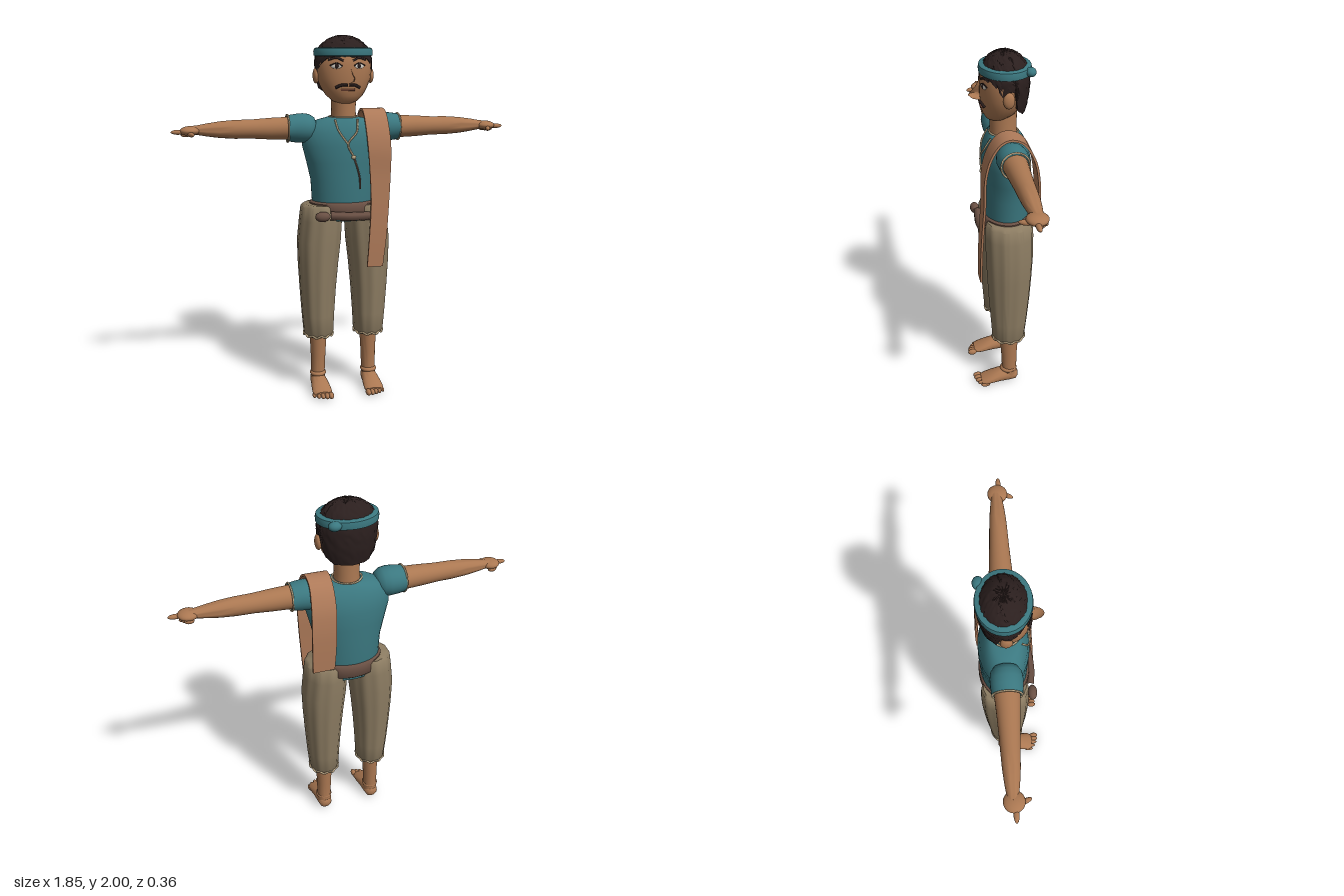
import * as THREE from 'three';
import { toCreasedNormals } from 'three/addons/utils/BufferGeometryUtils.js';

const mat = (name, color, side = THREE.FrontSide) => {
  const m = new THREE.MeshStandardMaterial({ color, side });
  m.name = name;
  return m;
};
const V = (x, y, z) => new THREE.Vector3(x, y, z);

// Closed skin over a list of point rings, capped at both ends
function skinRings(rings, crease = 0.8) {
  const n = rings[0].length, pos = [], idx = [];
  rings.forEach(r => r.forEach(p => pos.push(p.x, p.y, p.z)));
  for (let j = 0; j < rings.length - 1; j++) for (let i = 0; i < n; i++) {
    const a = j * n + i, b = j * n + (i + 1) % n;
    idx.push(a, b, a + n, b, b + n, a + n);
  }
  [0, rings.length - 1].forEach((j, top) => {
    const c = rings[j].reduce((s, p) => s.add(p), V(0, 0, 0)).divideScalar(n);
    const k = pos.length / 3;
    pos.push(c.x, c.y, c.z);
    for (let i = 0; i < n; i++) {
      const a = j * n + i, b = j * n + (i + 1) % n;
      top ? idx.push(k, a, b) : idx.push(k, b, a);
    }
  });
  const g = new THREE.BufferGeometry();
  g.setAttribute('position', new THREE.Float32BufferAttribute(pos, 3));
  g.setIndex(idx);
  return toCreasedNormals(g, crease);
}

// Elliptical sections [y, cx, cz, rx, rz] stacked along y, optionally fluted
const loft = (secs, n = 28, folds = 0, depth = 0) => skinRings(secs.map(([y, cx, cz, rx, rz]) =>
  Array.from({ length: n }, (_, i) => {
    const t = i / n * Math.PI * 2, k = 1 + depth * Math.cos(folds * t);
    return V(cx + rx * k * Math.sin(t), y, cz + rz * k * Math.cos(t));
  })));

// Point on the front of a stack of sections
function onFront(secs, x, y, off = 0) {
  let j = 0;
  while (j < secs.length - 2 && secs[j + 1][0] < y) j++;
  const a = secs[j], b = secs[j + 1], t = (y - a[0]) / (b[0] - a[0]);
  const [, , cz, rx, rz] = a.map((v, k) => v + (b[k] - v) * t);
  return V(x, y, cz + rz * Math.sqrt(Math.max(0, 1 - (x / rx) ** 2)) + off);
}

const ball = (x, y, z, rx, ry, rz) =>
  new THREE.SphereGeometry(1, 20, 14).scale(rx, ry, rz).translate(x, y, z);
const tube = (pts, r, closed = false, seg = 32) =>
  new THREE.TubeGeometry(new THREE.CatmullRomCurve3(pts, closed), seg, r, 6, closed);

const HEAD = [[1.638, 0, 0.025, 0.03, 0.03], [1.65, 0, 0.012, 0.065, 0.058], [1.68, 0, 0, 0.1, 0.088],
  [1.72, 0, -0.01, 0.125, 0.104], [1.77, 0, -0.016, 0.146, 0.115], [1.84, 0, -0.02, 0.152, 0.119],
  [1.9, 0, -0.024, 0.146, 0.115], [1.95, 0, -0.03, 0.11, 0.085], [1.975, 0, -0.03, 0.06, 0.05]];
const SHIRT = [[1.0, 0, -0.035, 0.16, 0.118], [1.1, 0, -0.035, 0.175, 0.128], [1.22, 0, -0.035, 0.182, 0.13],
  [1.32, 0, -0.035, 0.205, 0.133], [1.41, 0, -0.034, 0.228, 0.132], [1.48, 0, -0.032, 0.225, 0.122],
  [1.525, 0, -0.03, 0.195, 0.102], [1.55, 0, -0.028, 0.14, 0.088], [1.565, 0, -0.025, 0.078, 0.076]];

export function createModel() {
  const root = new THREE.Group();
  root.name = 'villager';
  const skin = mat('skin', 0xAB7852), hair = mat('hair', 0x2B1F1E), teal = mat('teal cloth', 0x3B7880);
  const khaki = mat('trouser cloth', 0x8C7C62), trim = mat('trim', 0xBBA684), brown = mat('belt brown', 0x6A5044);
  const shawl = mat('shawl cloth', 0xAE7A59), white = mat('eye white', 0xD8D2C8), lip = mat('lip', 0x7E4C3A);
  const add = (name, geo, m) => {
    const mesh = new THREE.Mesh(geo, m);
    mesh.name = name;
    root.add(mesh);
    return mesh;
  };

  // Head, neck and face
  add('head', loft(HEAD), skin);
  add('neck', loft([[1.5, 0, -0.025, 0.075, 0.075], [1.6, 0, -0.022, 0.066, 0.07], [1.7, 0, -0.02, 0.07, 0.075]]), skin);
  add('nose', loft([[1.865, 0, 0.085, 0.01, 0.012], [1.82, 0, 0.095, 0.015, 0.024], [1.79, 0, 0.1, 0.024, 0.046],
    [1.773, 0, 0.102, 0.034, 0.058], [1.757, 0, 0.1, 0.03, 0.042], [1.748, 0, 0.09, 0.014, 0.02]], 16), skin);
  add('lips', tube([-0.038, 0, 0.038].map(x => onFront(HEAD, x, 1.712, 0.001)), 0.006), lip);
  for (const s of [-1, 1]) {
    const face = (name, x, y, off, sx, sy, m) => {
      const p = onFront(HEAD, s * x, y, off);
      add(name, ball(0, 0, 0, sx, sy, 0.005).rotateY(s * 0.36).translate(p.x, p.y, p.z), m);
    };
    face('eye', 0.062, 1.836, 0, 0.029, 0.014, white);
    face('pupil', 0.06, 1.836, 0.003, 0.011, 0.012, hair);
    add('eyelid', tube([[0.03, 1.836], [0.06, 1.851], [0.095, 1.838]].map(([x, y]) => onFront(HEAD, s * x, y, 0.003)), 0.0035), hair);
    add('eyebrow', tube([[0.025, 1.863], [0.06, 1.878], [0.1, 1.868]].map(([x, y]) => onFront(HEAD, s * x, y, 0.001)), 0.006), hair);
    add('moustache', tube([[0.003, 1.738], [0.035, 1.737], [0.066, 1.724]].map(([x, y]) => onFront(HEAD, s * x, y, 0.002)), 0.008), hair);
    add('ear', ball(s * 0.15, 1.785, -0.025, 0.018, 0.042, 0.03), skin);
  }

  // Curly hair, its lower edge following hairline, ears and nape
  let seed = 7;
  const rnd = () => (seed = (seed * 16807) % 2147483647) / 2147483647;
  const EDGE = [[0, 1.885], [0.25, 1.875], [0.33, 1.845], [0.42, 1.795], [0.46, 1.83], [0.56, 1.83], [0.62, 1.72], [0.75, 1.69], [1.01, 1.685]];
  const edgeY = a => {
    const k = EDGE.findIndex(e => e[0] > a), [a0, y0] = EDGE[k - 1], [a1, y1] = EDGE[k];
    return y0 + (y1 - y0) * (a - a0) / (a1 - a0);
  };
  const hairRings = Array.from({ length: 23 }, (_, j) => Array.from({ length: 64 }, (_, i) => {
    const t = (i / 64) * Math.PI * 2, low = edgeY(Math.min(i, 64 - i) / 32);
    const y = low + (1.996 - low) * Math.sin(j / 22 * Math.PI / 2);
    const k = y > 1.86 ? Math.sqrt(Math.max(0, 1 - ((y - 1.86) / 0.1365) ** 2)) : 1 - 6 * (1.86 - y) ** 2;
    const b = k + (rnd() - 0.5) * 0.04;
    return V(0.156 * b * Math.sin(t), y + (rnd() - 0.5) * 0.005, -0.03 + 0.127 * b * Math.cos(t));
  }));
  add('hair', skinRings(hairRings), hair);

  // Headband with knot
  add('headband', loft([[1.886, 0, -0.03, 0.15, 0.125], [1.89, 0, -0.03, 0.159, 0.133], [1.91, 0, -0.03, 0.161, 0.135],
    [1.927, 0, -0.03, 0.157, 0.132], [1.932, 0, -0.03, 0.145, 0.12]], 40), teal);
  add('headbandKnot', ball(0.1, 1.91, -0.142, 0.034, 0.024, 0.028), teal);

  // Shirt, collar trim, neck cord
  add('shirt', loft(SHIRT, 36), teal);
  const loop = (cx, cy, cz, rx, rz, wave) => Array.from({ length: 40 }, (_, i) => {
    const t = i / 40 * Math.PI * 2;
    return V(cx + rx * Math.sin(t), cy + wave * Math.cos(t * 10), cz + rz * Math.cos(t));
  });
  add('collarTrim', tube(loop(0, 1.564, -0.025, 0.078, 0.076, 0), 0.005, true, 40), trim);
  const cord = pts => pts.map(([x, y]) => onFront(SHIRT, x, y, 0.004));
  add('neckCordRight', tube(cord([[-0.062, 1.553], [-0.05, 1.5], [0, 1.425]]), 0.005), trim);
  add('neckCordLeft', tube(cord([[0.062, 1.553], [0.05, 1.49], [0, 1.425], [0.03, 1.357]]), 0.005), trim);
  const bead = onFront(SHIRT, 0.03, 1.355, 0.004);
  add('cordBead', ball(bead.x, bead.y, bead.z, 0.013, 0.011, 0.009), trim);
  add('cordTail', tube(cord([[0.03, 1.355], [0.05, 1.3], [0.066, 1.24], [0.07, 1.18]]), 0.005), brown);

  for (const s of [-1, 1]) {
    // Sleeve, arm and hand
    const limb = secs => loft(secs.map(([d, ry, rz]) => [d, 0, 0, ry, rz])).rotateZ(-s * Math.PI / 2).translate(0, 1.505, -0.03);
    add('sleeve', limb([[0.15, 0.03, 0.03], [0.163, 0.058, 0.06], [0.19, 0.075, 0.078], [0.225, 0.08, 0.083], [0.265, 0.077, 0.081], [0.308, 0.07, 0.077]]), teal);
    add('sleeveTrim', new THREE.TorusGeometry(0.073, 0.005, 6, 32).rotateY(Math.PI / 2).translate(s * 0.308, 1.505, -0.03), trim);
    add('arm', limb([[0.29, 0.062, 0.066], [0.4, 0.058, 0.058], [0.5, 0.051, 0.052], [0.59, 0.05, 0.048],
      [0.67, 0.044, 0.044], [0.74, 0.034, 0.037], [0.79, 0.025, 0.03], [0.82, 0.022, 0.03]]), skin);
    add('palm', ball(s * 0.825, 1.502, -0.025, 0.054, 0.025, 0.053), skin);
    add('indexFinger', ball(s * 0.885, 1.497, -0.018, 0.04, 0.013, 0.014), skin);
    add('thumb', ball(0, 0, 0, 0.013, 0.013, 0.034).rotateY(-s * 0.4).translate(s * 0.822, 1.487, 0.027), skin);
    for (let i = 0; i < 3; i++) add('curledFinger', ball(s * (0.85 - i * 0.012), 1.483, -0.035 - i * 0.014, 0.024, 0.014, 0.011), skin);

    // Gathered trouser leg
    const leg = [[0.325, 0.146, -0.03, 0.076, 0.082], [0.345, 0.146, -0.03, 0.084, 0.093], [0.45, 0.148, -0.032, 0.091, 0.102],
      [0.6, 0.148, -0.033, 0.101, 0.114], [0.75, 0.145, -0.034, 0.112, 0.123], [0.88, 0.139, -0.035, 0.121, 0.129],
      [1.0, 0.129, -0.035, 0.118, 0.13], [1.075, 0.125, -0.035, 0.112, 0.126], [1.088, 0.122, -0.035, 0.098, 0.115]]
      .map(([y, cx, ...r]) => [y, s * cx, ...r]);
    add('trouserLeg', loft(leg, 60, 10, 0.022), khaki);
    add('hemTrim', tube(loop(s * 0.146, 0.332, -0.03, 0.083, 0.092, 0.006), 0.006, true, 80), trim);

    // Shin, foot and toes
    add('shin', loft([[0.05, s * 0.15, -0.035, 0.042, 0.045], [0.1, s * 0.15, -0.035, 0.04, 0.043], [0.2, s * 0.148, -0.034, 0.042, 0.046],
      [0.3, s * 0.147, -0.033, 0.047, 0.053], [0.4, s * 0.147, -0.033, 0.05, 0.056]]), skin);
    add('ankle', ball(s * 0.15, 0.09, -0.03, 0.047, 0.022, 0.05), skin);
    add('foot', loft([[-0.085, 0, -0.042, 0.018, 0.02], [-0.07, 0, -0.042, 0.036, 0.036], [-0.03, 0, -0.047, 0.044, 0.045],
      [0.02, 0, -0.043, 0.048, 0.041], [0.07, 0, -0.033, 0.054, 0.031], [0.11, 0, -0.024, 0.055, 0.022], [0.135, 0, -0.02, 0.044, 0.015]])
      .rotateX(Math.PI / 2).translate(s * 0.15, 0, 0), skin);
    for (let i = 0; i < 5; i++) {
      const r = 0.018 - i * 0.0016;
      add('toe', ball(s * (0.108 + i * 0.0225), r, 0.15 - i * i * 0.0022, r * 0.85, r, 0.027), skin);
    }
  }

  // Belt with rolled purse
  add('belt', loft([[1.02, 0, -0.035, 0.175, 0.13], [1.03, 0, -0.035, 0.186, 0.139], [1.095, 0, -0.035, 0.188, 0.138], [1.105, 0, -0.035, 0.176, 0.128]], 40), brown);
  add('beltRoll', tube([[-0.1, 1.04, 0.105], [0, 1.033, 0.112], [0.12, 1.03, 0.1]].map(p => V(...p)), 0.024), brown);
  add('purseKnot', ball(-0.112, 1.042, 0.115, 0.042, 0.028, 0.026).rotateZ(0.03), brown);

  // Shawl folded over the left shoulder: rows of [y, z, inner x, outer x]
  const rows = [[0.75, 0.131, 0.1, 0.188], [0.92, 0.13, 0.112, 0.208], [1.1, 0.122, 0.122, 0.222], [1.26, 0.112, 0.118, 0.232],
    [1.4, 0.108, 0.108, 0.235], [1.51, 0.078, 0.102, 0.23], [1.585, 0.025, 0.1, 0.226], [1.602, -0.03, 0.1, 0.222], [1.575, -0.095, 0.1, 0.222],
    [1.48, -0.15, 0.1, 0.23], [1.36, -0.171, 0.104, 0.236], [1.22, -0.174, 0.11, 0.238], [1.11, -0.172, 0.118, 0.238]];
  const path = new THREE.CatmullRomCurve3(rows.map(r => V(0, r[0], r[1])));
  const side = k => new THREE.CatmullRomCurve3(rows.map(r => V(r[k], r[0], r[1])));
  const inner = side(2), outer = side(3);
  add('shawl', skinRings(Array.from({ length: 49 }, (_, i) => {
    const t = i / 48, a = inner.getPoint(t), b = outer.getPoint(t), d = path.getTangent(t);
    const n = V(0, -d.z, d.y).multiplyScalar(0.006);
    return [a.clone().add(n), b.clone().add(n), b.sub(n), a.sub(n)];
  })), shawl);

  return root;
}
